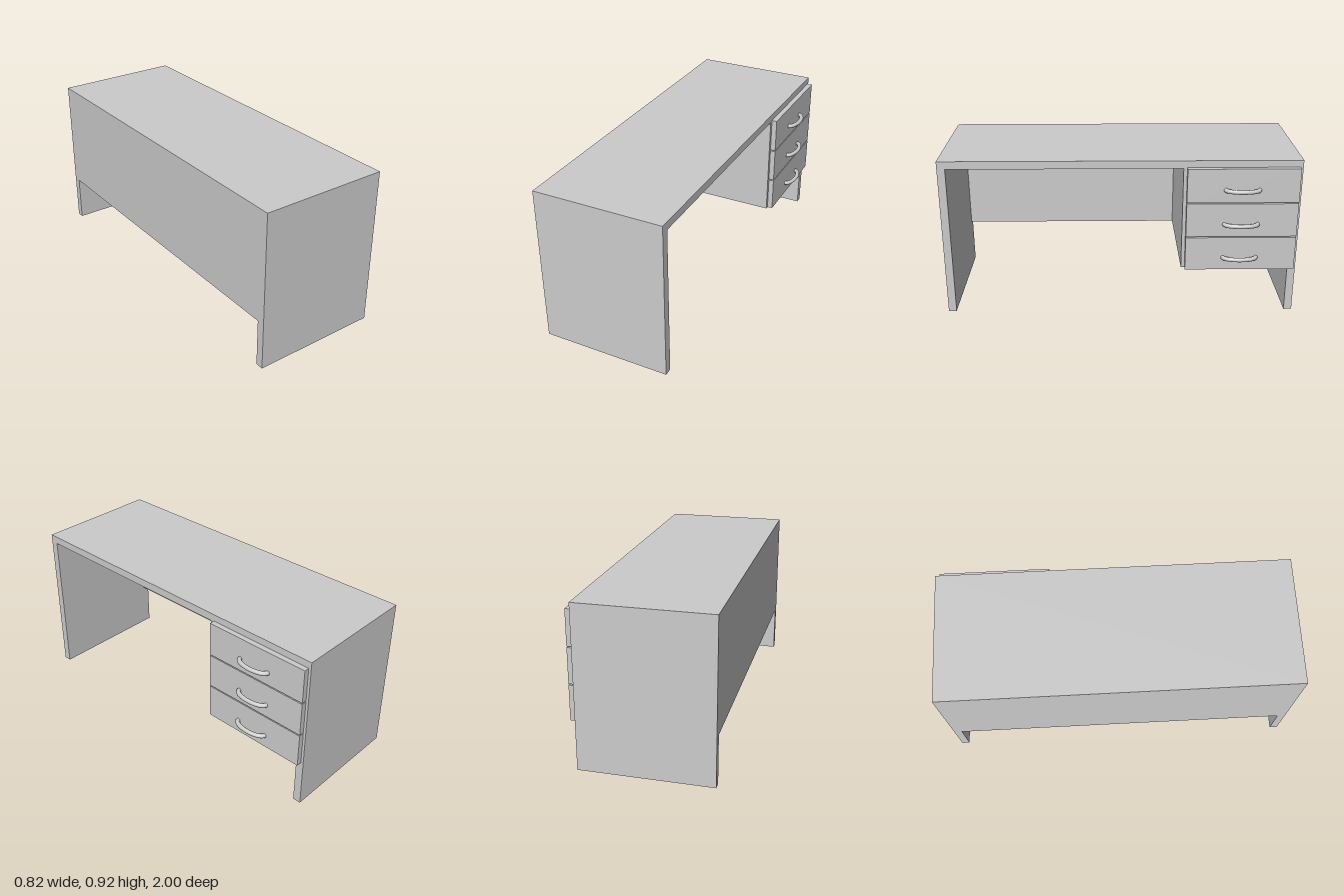
import * as THREE from 'three';

export function createModel() {
  const desk = new THREE.Group();
  desk.name = 'desk';
  const material = new THREE.MeshStandardMaterial({ color: 0xcccccc });

  // Box given by its lower and upper corners
  function panel(parent, name, [x0, y0, z0], [x1, y1, z1]) {
    const mesh = new THREE.Mesh(new THREE.BoxGeometry(x1 - x0, y1 - y0, z1 - z0), material);
    mesh.position.set((x0 + x1) / 2, (y0 + y1) / 2, (z0 + z1) / 2);
    mesh.name = name;
    parent.add(mesh);
  }

  const back = -0.41, front = 0.325, height = 0.915, t = 0.045;
  const under = height - t, low = 0.275;

  // Carcass: top, full-height ends and raised back panel
  panel(desk, 'desktop', [back, under, -1], [front, height, 1]);
  for (const s of [-1, 1]) {
    const z = s * (1 - t / 2);
    panel(desk, 'endPanel', [back, 0, z - t / 2], [front, under, z + t / 2]);
  }
  panel(desk, 'backPanel', [back, low, -1 + t], [back + t, under, 1 - t]);

  // Drawer cabinet: inner side wall and floor
  panel(desk, 'cabinetSide', [back + t, low, -0.345 - t], [front, under, -0.345]);
  panel(desk, 'cabinetFloor', [back + t, low, -1 + t], [front, low + 0.02, -0.345 - t]);

  // Bowed handle: half ellipse in the horizontal plane, faceted round section
  const arc = [];
  for (let i = 0; i <= 16; i++) {
    const a = (i / 16) * Math.PI;
    arc.push(new THREE.Vector3(0.039 * Math.sin(a), 0, 0.093 * Math.cos(a)));
  }
  const handleGeometry = new THREE.TubeGeometry(new THREE.CatmullRomCurve3(arc), 24, 0.0122, 12);

  // Three drawers with overlapping fronts and open trays behind
  for (let i = 0; i < 3; i++) {
    const drawer = new THREE.Group();
    drawer.name = 'drawer';
    const y = low + i * 0.2025;
    const zA = -0.95, zB = -0.395, xA = back + t + 0.02, yA = y + 0.022, yB = y + 0.18, w = 0.015;
    panel(drawer, 'drawerFront', [front, y, -0.985], [front + 0.03, y + 0.196, -0.365]);
    panel(drawer, 'drawerBottom', [xA, yA, zA], [front, yA + w, zB]);
    panel(drawer, 'drawerSide', [xA, yA + w, zA], [front, yB, zA + w]);
    panel(drawer, 'drawerSide', [xA, yA + w, zB - w], [front, yB, zB]);
    panel(drawer, 'drawerBack', [xA, yA + w, zA + w], [xA + w, yB, zB - w]);
    const handle = new THREE.Mesh(handleGeometry, material);
    handle.name = 'handle';
    handle.position.set(front + 0.03, y + 0.075, -0.67);
    drawer.add(handle);
    desk.add(drawer);
  }
  return desk;
}
